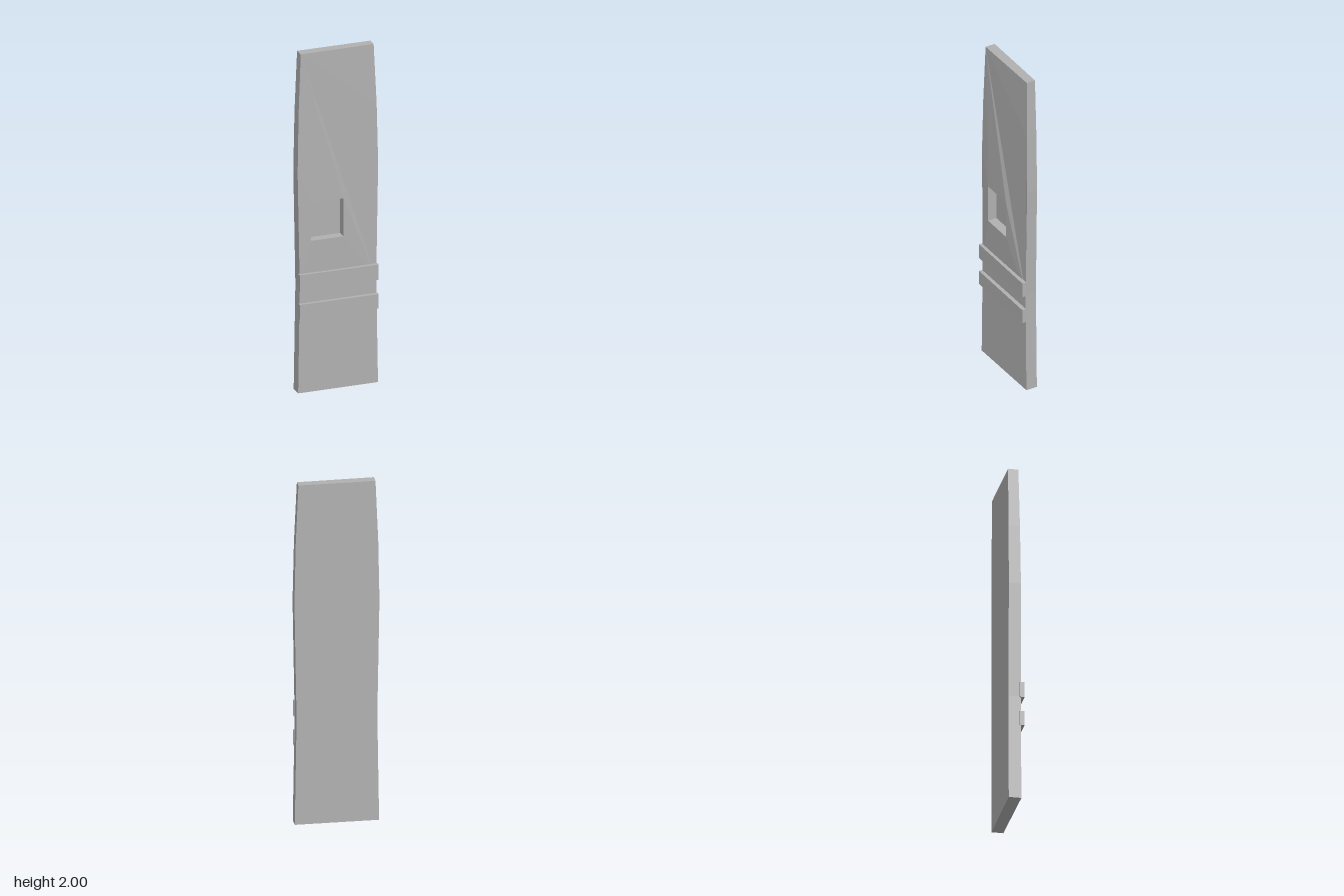
import * as THREE from 'three';

const BACK = -0.045;
const RECESS_FLOOR = -0.023;

// Front outline, counter-clockwise from the lower left: x, y, front z
const outline = [
  [-0.235, 0, 0.026], [0.235, 0, 0.022],
  [0.225, 0.62, 0.021], [0.237, 1.3, 0.019], [0.23, 1.65, 0.014], [0.215, 2, 0.007],
  [-0.215, 2, 0.013], [-0.23, 1.65, 0.019], [-0.237, 1.3, 0.023], [-0.225, 0.62, 0.025],
].map((p) => new THREE.Vector3(...p));

// Square recess, clockwise
const recess = [
  [-0.16, 0.895], [-0.16, 1.12], [0.03, 1.12], [0.03, 0.895],
].map(([x, y]) => new THREE.Vector3(x, y, 0.03));

const flat = (points) => points.map((p) => new THREE.Vector2(p.x, p.y));

// Flat-shaded cap over a loop, with an optional hole and a depth for each corner
function cap(loop, hole, depth) {
  const shape = new THREE.Shape(flat(loop));
  if (hole) shape.holes.push(new THREE.Path(flat(hole)));
  const geometry = new THREE.ShapeGeometry(shape);
  const position = geometry.attributes.position;
  const corners = hole ? [...loop, ...hole] : loop;
  for (let i = 0; i < position.count; i++) {
    const x = position.getX(i), y = position.getY(i);
    const corner = corners.find((c) => Math.hypot(c.x - x, c.y - y) < 1e-5);
    position.setZ(i, depth(corner));
  }
  const result = geometry.toNonIndexed();
  result.computeVertexNormals();
  return result;
}

// Walls running from each loop corner's front depth to a fixed depth
function walls(loop, far) {
  const v = [];
  loop.forEach((a, i) => {
    const b = loop[(i + 1) % loop.length];
    v.push(a.x, a.y, far, b.x, b.y, far, b.x, b.y, b.z);
    v.push(a.x, a.y, far, b.x, b.y, b.z, a.x, a.y, a.z);
  });
  const geometry = new THREE.BufferGeometry();
  geometry.setAttribute('position', new THREE.Float32BufferAttribute(v, 3));
  geometry.computeVertexNormals();
  return geometry;
}

export function createModel() {
  const model = new THREE.Group();
  model.name = 'stoneSlab';
  const stone = new THREE.MeshStandardMaterial({ color: 0xb0b0b0 });
  stone.name = 'grey stone';

  const add = (name, geometry) => {
    const mesh = new THREE.Mesh(geometry, stone);
    mesh.name = name;
    model.add(mesh);
    return mesh;
  };

  // Slab body with a slightly bulging front
  add('slabFront', cap(outline, recess, (c) => c.z));
  add('slabEdges', walls(outline, BACK));
  const back = cap(outline, null, () => -BACK);
  back.rotateY(Math.PI);
  back.scale(1, 1, 1);
  add('slabBack', back);

  // Square recess
  add('recessWalls', walls(recess, RECESS_FLOOR));
  const floor = add('recessFloor', new THREE.PlaneGeometry(0.19, 0.225));
  floor.position.set(-0.065, 1.0075, RECESS_FLOOR);

  // Two raised bands across the front
  [['lowerBand', 0.445, 0.53], ['upperBand', 0.615, 0.705]].forEach(([name, low, high]) => {
    const band = add(name, new THREE.BoxGeometry(0.463, high - low, 0.027));
    band.position.set(-0.001, (low + high) / 2, 0.0315);
  });

  return model;
}
